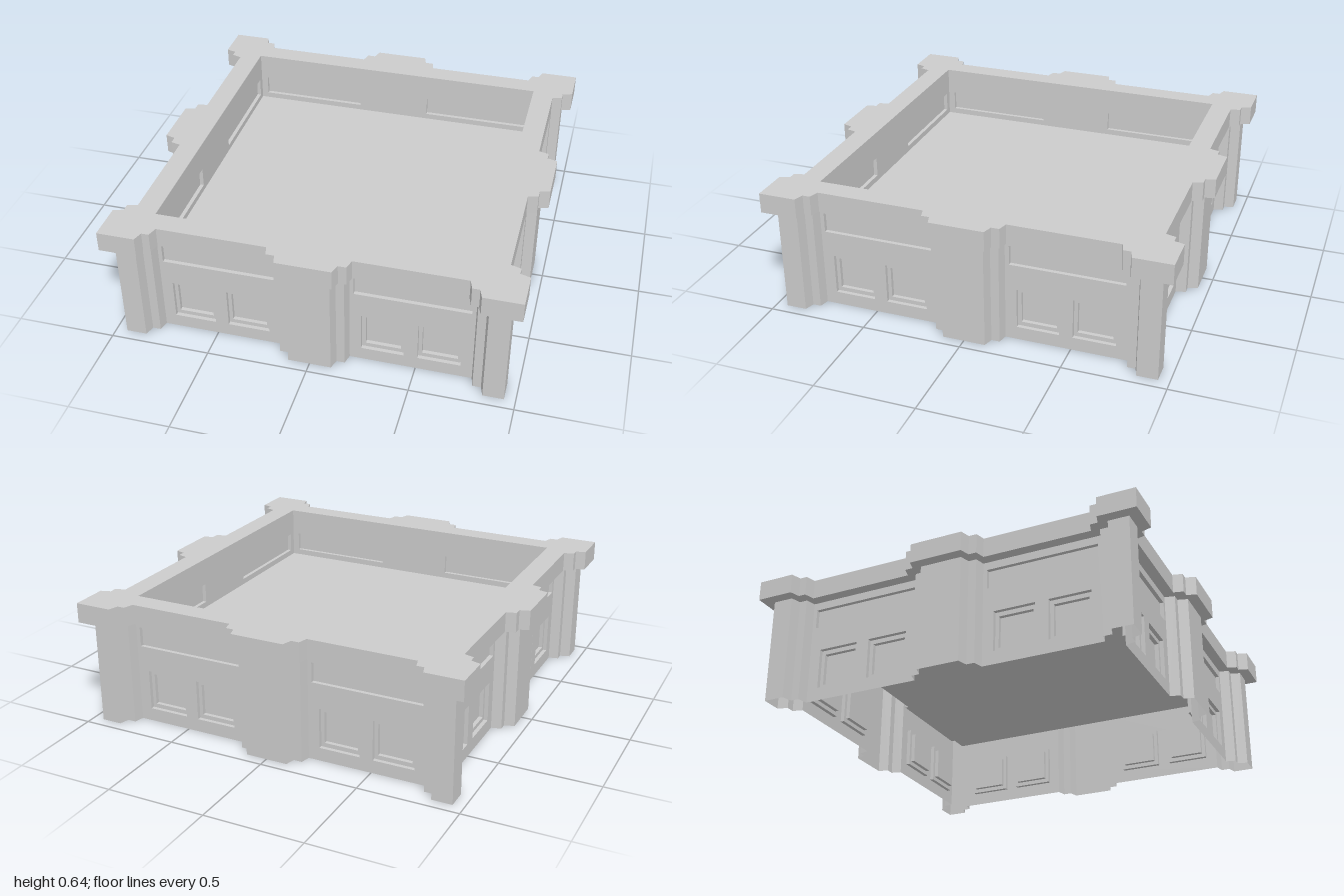
import * as THREE from 'three';
import { mergeGeometries } from 'three/addons/utils/BufferGeometryUtils.js';

const FLOOR_Y = 0.37, CAP_Y = 0.54, TOP_Y = 0.64, PIT = 0.79;
const material = new THREE.MeshStandardMaterial({
  color: 0xcccccc, flatShading: true, side: THREE.DoubleSide,
});

function fromTriangles(positions) {
  const g = new THREE.BufferGeometry();
  g.setAttribute('position', new THREE.Float32BufferAttribute(positions, 3));
  g.computeVertexNormals();
  return g;
}

const quad = (a, b, c, d) => [...a, ...b, ...c, ...a, ...c, ...d];

function flat(shape) {
  const g = new THREE.ShapeGeometry(shape).toNonIndexed();
  g.deleteAttribute('uv');
  return g;
}

const rectPoints = ([x0, y0, x1, y1]) =>
  [[x0, y0], [x1, y0], [x1, y1], [x0, y1]].map(p => new THREE.Vector2(...p));

// Closed plan outline [x, z]: one side with corner and middle piers, turned four times
function outline(half) {
  const mirrored = half.map(([x, d]) => [-x, d]).reverse().slice(0, -1);
  let side = [...half, ...mirrored];
  const points = [];
  for (let k = 0; k < 4; k++) {
    points.push(...side);
    side = side.map(([x, z]) => [z, -x]);
  }
  return points;
}

// Vertical faces along an outline, leaving out chosen segments of each side
function band(points, y0, y1, skip = []) {
  const pos = [], n = points.length, perSide = n / 4;
  points.forEach(([x, z], i) => {
    if (skip.includes(i % perSide)) return;
    const [u, w] = points[(i + 1) % n];
    pos.push(...quad([x, y0, z], [u, y0, w], [u, y1, w], [x, y1, z]));
  });
  return fromTriangles(pos);
}

// Horizontal ring between two outlines
function ring(outer, inner, y) {
  const toVec = ([x, z]) => new THREE.Vector2(x, -z);
  const shape = new THREE.Shape(outer.map(toVec));
  shape.holes.push(new THREE.Path(inner.map(toVec)));
  return flat(shape).rotateX(-Math.PI / 2).translate(0, y, 0);
}

// Stepped recess: successive rectangles, each sunk straight back from the one before
function recess(steps) {
  const pos = [];
  let z = 0, last;
  steps.forEach(({ rect, depth }, k) => {
    const p = rectPoints(rect);
    for (let i = 0; i < 4; i++) {
      const j = (i + 1) % 4;
      const at = (q, h) => [q.x, q.y, h];
      if (k > 0) pos.push(...quad(at(last[i], z), at(last[j], z), at(p[j], z), at(p[i], z)));
      pos.push(...quad(at(p[i], z), at(p[j], z), at(p[j], z - depth), at(p[i], z - depth)));
    }
    z -= depth;
    last = p;
  });
  pos.push(...quad(...last.map(q => [q.x, q.y, z])));
  return fromTriangles(pos);
}

// Flat wall facing +z with recesses cut into it
function panel(rect, recesses) {
  const shape = new THREE.Shape(rectPoints(rect));
  recesses.forEach(r => shape.holes.push(new THREE.Path(rectPoints(r[0].rect))));
  return mergeGeometries([flat(shape), ...recesses.map(recess)]);
}

const slot = cx => [{ rect: [cx - 0.28, 0.4, cx + 0.28, 0.5], depth: 0.02 }];
const windowRecess = cx => [
  { rect: [cx - 0.105, 0.067, cx + 0.105, 0.272], depth: 0.02 },
  { rect: [cx - 0.087, 0.088, cx + 0.087, 0.25], depth: 0.02 },
];

export function createModel() {
  const model = new THREE.Group();
  const add = (name, geometry, parent = model) => {
    const mesh = new THREE.Mesh(geometry, material);
    mesh.name = name;
    parent.add(mesh);
    return mesh;
  };

  const capLine = outline([
    [-1, 1], [-0.812, 1], [-0.797, 0.95], [-0.76, 0.95], [-0.745, 0.9],
    [-0.203, 0.9], [-0.19, 0.95], [-0.15, 0.95], [-0.135, 1],
  ]);
  const wallLine = outline([
    [-0.945, 0.945], [-0.843, 0.945], [-0.828, 0.895], [-0.787, 0.895], [-0.775, 0.845],
    [-0.175, 0.845], [-0.163, 0.895], [-0.122, 0.895], [-0.107, 0.945],
  ]);
  const pitLine = [[-PIT, PIT], [PIT, PIT], [PIT, -PIT], [-PIT, -PIT]];

  // Piers and overhanging parapet
  add('piers', band(wallLine, 0, CAP_Y, [4, 12]));
  add('parapetEdge', band(capLine, CAP_Y, TOP_Y));
  add('parapetTop', ring(capLine, pitLine, TOP_Y));
  add('parapetUnderside', ring(capLine, wallLine, CAP_Y));

  // Outer wall bays with windows, and inner parapet walls
  const bay = panel([-0.3, 0, 0.3, CAP_Y], [slot(0), windowRecess(-0.138), windowRecess(0.138)]);
  const inner = panel([-PIT, FLOOR_Y, PIT, TOP_Y], [slot(-0.475), slot(0.475)]);
  for (let k = 0; k < 4; k++) {
    const side = new THREE.Group();
    side.name = 'wallSide';
    side.rotation.y = k * Math.PI / 2;
    for (const s of [-1, 1]) add('wallBay', bay, side).position.set(s * 0.475, 0, 0.845);
    add('innerWall', inner, side).position.z = -PIT;
    model.add(side);
  }

  // Sunken roof deck
  const deck = new THREE.PlaneGeometry(2 * PIT, 2 * PIT).rotateX(-Math.PI / 2);
  add('roofDeck', deck.translate(0, FLOOR_Y, 0));
  return model;
}
